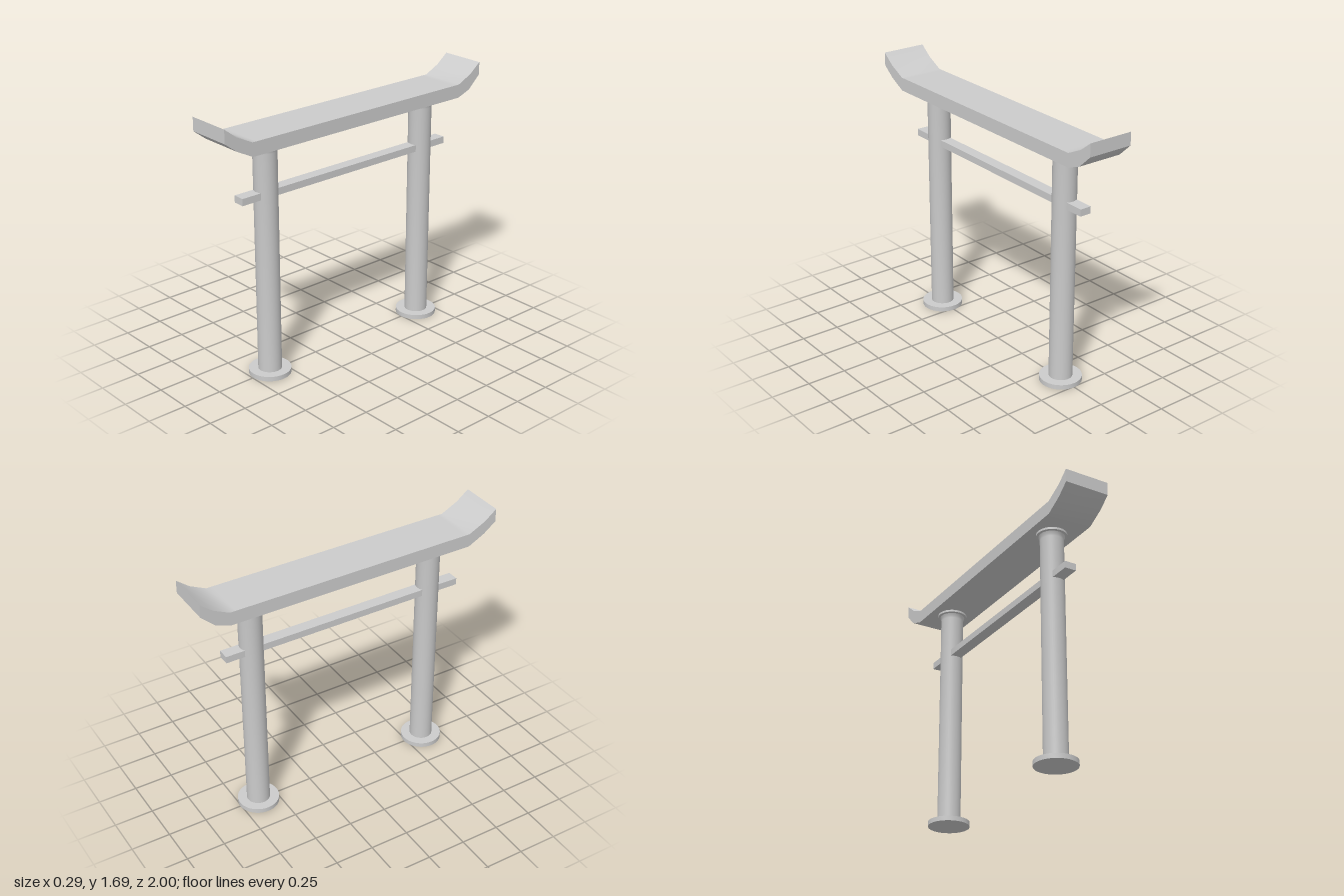
import * as THREE from 'three';
import { toCreasedNormals } from 'three/addons/utils/BufferGeometryUtils.js';

const material = new THREE.MeshStandardMaterial({ color: 0xcccccc });

function part(name, geometry, parent) {
  const mesh = new THREE.Mesh(geometry, material);
  mesh.name = name;
  parent.add(mesh);
  return mesh;
}

// Upswept top beam: side profile in (z, y), extruded across x
function roofGeometry(width) {
  const top = [[1, 1.69], [0.92, 1.627], [0.81, 1.572], [0.78, 1.572],
    [-0.78, 1.572], [-0.82, 1.572], [-0.92, 1.62], [-1, 1.683]];
  const bottom = [[-1, 1.602], [-0.915, 1.522], [-0.82, 1.486], [-0.78, 1.486],
    [0.78, 1.486], [0.81, 1.486], [0.92, 1.543], [1, 1.605]];
  const shape = new THREE.Shape([...top, ...bottom].map(([z, y]) => new THREE.Vector2(z, y)));
  const geometry = new THREE.ExtrudeGeometry(shape, { depth: width, bevelEnabled: false });
  geometry.rotateY(-Math.PI / 2).translate(width / 2, 0, 0);
  return toCreasedNormals(geometry, 0.75);
}

// Round post: disc foot, straight shaft and flared capital with a flat rim
function postGeometry() {
  const profile = [[0, 0], [0.131, 0], [0.131, 0.03], [0.073, 0.03], [0.073, 1.44],
    [0.075, 1.455], [0.081, 1.469], [0.095, 1.472], [0.095, 1.486], [0, 1.486]];
  const points = profile.map(([r, y]) => new THREE.Vector2(r, y));
  return toCreasedNormals(new THREE.LatheGeometry(points, 40), 0.6);
}

export function createModel() {
  const group = new THREE.Group();
  group.name = 'gate';

  part('topBeam', roofGeometry(0.292), group);

  // Tie beam passing through both posts
  part('tieBeam', new THREE.BoxGeometry(0.075, 0.044, 1.62), group).position.set(-0.002, 1.179, 0);

  const post = postGeometry();
  part('frontPost', post, group).position.z = 0.614;
  part('backPost', post, group).position.z = -0.626;

  return group;
}
